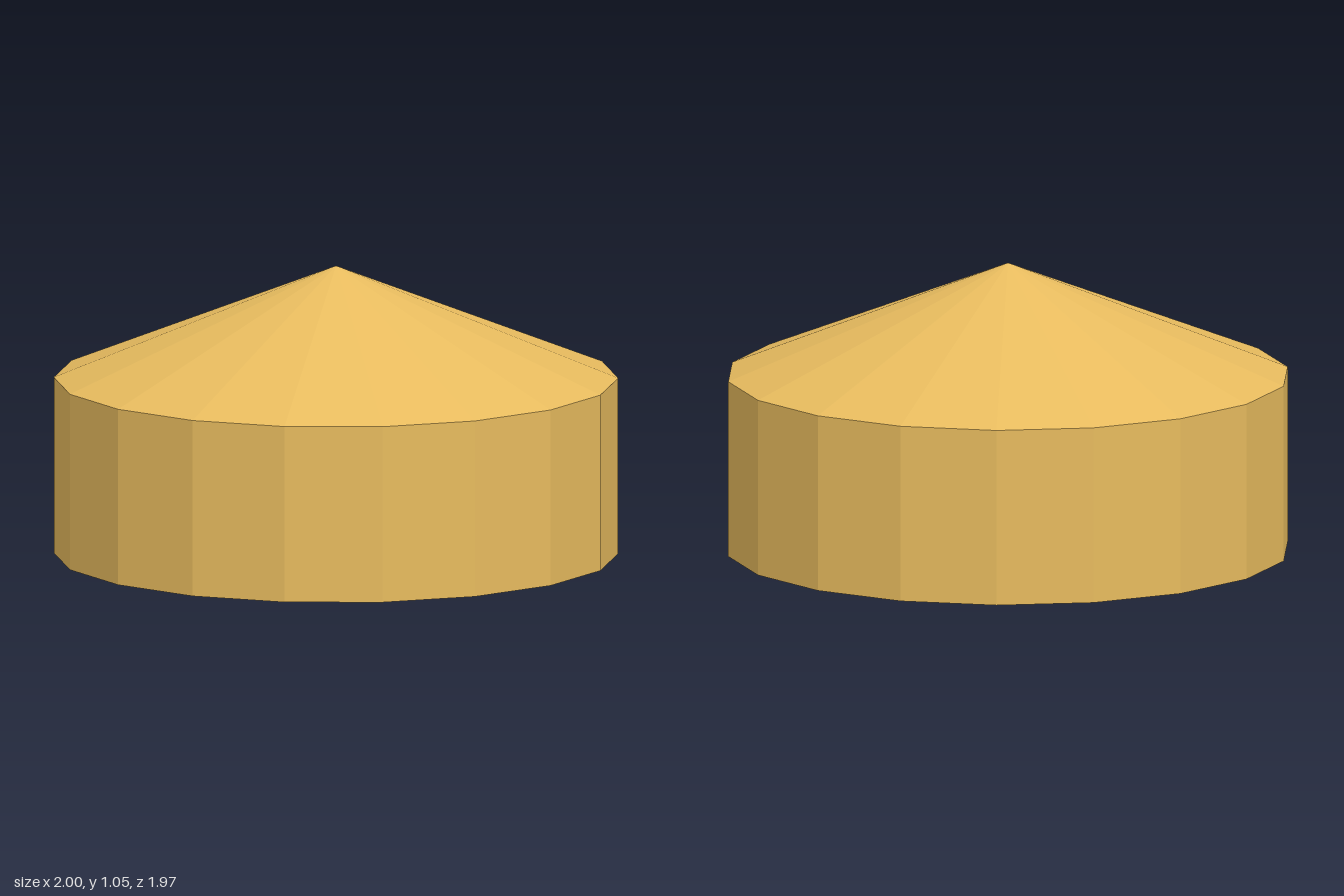
import * as THREE from 'three';

const SIDES = 18;
const START = Math.PI / 2; // a corner on the x axis

function material(name, color) {
  const m = new THREE.MeshStandardMaterial({ color, flatShading: true, side: THREE.DoubleSide });
  m.name = name;
  return m;
}

export function createModel() {
  const model = new THREE.Group();
  model.name = 'roundShelter';

  const gold = material('gold', 0xe7bb5e);
  const leafGreen = material('leafGreen', 0x46bf79);
  const grassGreen = material('grassGreen', 0x93d262);
  const earth = material('paleEarth', 0xc5dd82);
  const stone = material('stone', 0xdcc4b4);

  function add(parent, name, geometry, mat, x = 0, y = 0, z = 0) {
    const mesh = new THREE.Mesh(geometry, mat);
    mesh.name = name;
    mesh.position.set(x, y, z);
    parent.add(mesh);
    return mesh;
  }
  const drum = (rTop, rBottom, h, open) =>
    new THREE.CylinderGeometry(rTop, rBottom, h, SIDES, 1, open, START);

  // Outer shell: thin open wall and a shallow conical roof
  add(model, 'wall', drum(1, 1, 0.632, true), gold, 0, 0.336, 0);
  add(model, 'roof', drum(0, 1, 0.403, true), gold, 0, 0.8535, 0);

  // Raised ground inside the shell, with a grassy floor plate
  add(model, 'ground', drum(0.71, 0.71, 0.08), leafGreen, 0, 0.06, 0);
  add(model, 'grassFloor', drum(0.69, 0.69, 0.006), grassGreen, 0, 0.019, 0);

  // Uneven grass edge along the top of the ground
  const grassEdge = new THREE.Group();
  grassEdge.name = 'grassEdge';
  model.add(grassEdge);
  const tuft = new THREE.ConeGeometry(0.05, 1, 5);
  for (let i = 0; i < 44; i++) {
    const a = (i / 44) * Math.PI * 2;
    const h = 0.025 + 0.012 * Math.sin(i * 2.3);
    const t = add(grassEdge, 'grassTuft', tuft, leafGreen,
      0.66 * Math.cos(a), 0.098 + h / 2, 0.66 * Math.sin(a));
    t.scale.y = h;
    t.rotation.y = i;
  }

  // Underside frame: local x and y span the floor, local z points down
  const turn = THREE.MathUtils.degToRad(-40);
  const s = Math.sin(turn), c = Math.cos(turn);
  const underside = new THREE.Group();
  underside.name = 'underside';
  underside.quaternion.setFromRotationMatrix(new THREE.Matrix4().makeBasis(
    new THREE.Vector3(-c, 0, s), new THREE.Vector3(-s, 0, -c), new THREE.Vector3(0, -1, 0)));
  model.add(underside);

  // Pale earth patch under the ground
  const outline = [
    [-0.46, 0.3], [-0.56, 0.08], [-0.47, -0.15], [-0.5, -0.34], [-0.35, -0.54],
    [-0.12, -0.48], [0.1, -0.55], [0.3, -0.62], [0.44, -0.42], [0.5, -0.28],
    [0.33, -0.12], [0.31, 0.02], [0.48, 0.06], [0.52, 0.2], [0.37, 0.4],
    [0.24, 0.48], [0.1, 0.4], [0.03, 0.28], [-0.12, 0.28], [-0.26, 0.44], [-0.38, 0.45],
  ].map(([x, y]) => new THREE.Vector2(x, y));
  const patch = new THREE.Shape();
  patch.moveTo(outline[0].x, outline[0].y);
  patch.splineThru([...outline.slice(1), outline[0]]);
  add(underside, 'earthPatch', new THREE.ShapeGeometry(patch, 3), earth, 0, 0, -0.014);

  // Stone chips showing on the inner wall, and one on the ground's side:
  // angle, radius, height, half width, half height, tilt
  const chip = new THREE.CircleGeometry(1, 5);
  const chips = [
    [91, 0.96, 0.19, 0.07, 0.045, -0.4], [81, 0.96, 0.15, 0.06, 0.025, -0.3],
    [11, 0.96, 0.21, 0.06, 0.03, 0.6], [-3, 0.96, 0.26, 0.055, 0.03, 1.1],
    [101, 0.96, 0.15, 0.05, 0.03, -0.9], [109, 0.96, 0.48, 0.11, 0.02, -1.4],
    [221, 0.716, 0.085, 0.016, 0.016, 0],
  ];
  for (const [degrees, radius, y, w, h, tilt] of chips) {
    const a = THREE.MathUtils.degToRad(degrees);
    const m = add(model, 'stoneChip', chip, stone, -radius * Math.cos(a), y, radius * Math.sin(a));
    m.scale.set(w, h, 1);
    m.rotation.set(0, a + Math.PI / 2, tilt);
  }

  // Small root and pebble tips poking through the floor
  const tip = new THREE.CylinderGeometry(0.02, 0.014, 0.02, 5);
  add(model, 'rootTip', tip, leafGreen, 0.3, 0.01, -0.085);
  add(model, 'pebbleTip', new THREE.OctahedronGeometry(0.02), stone, 0.25, 0.028, 0.55).scale.y = 0.8;

  return model;
}
